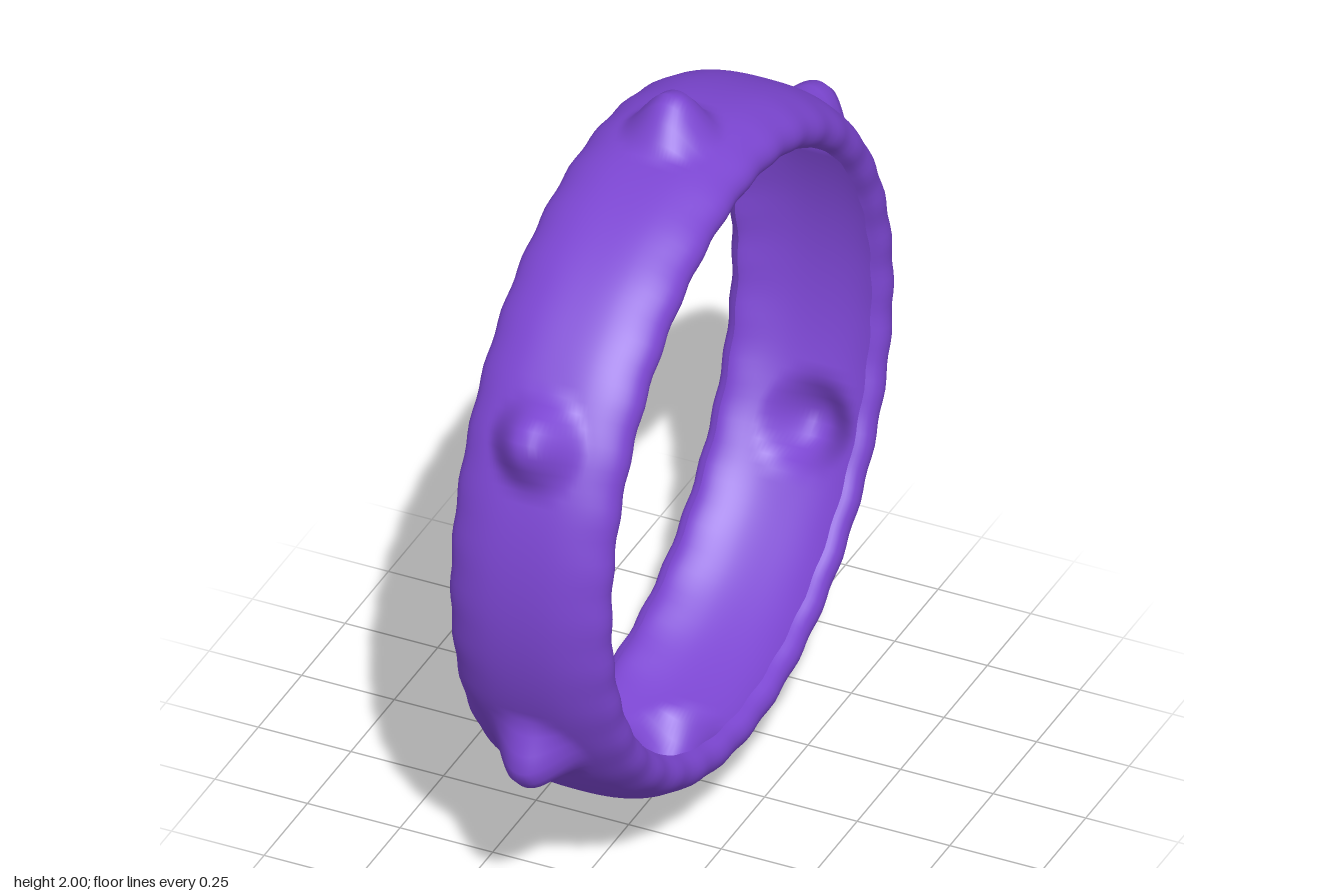
import * as THREE from 'three';

const violet = new THREE.MeshStandardMaterial({ color: 0x7c46d2, side: THREE.DoubleSide });
violet.name = 'violet';

// Smooth radial bump around each of the six stud centres
function studHeight(x, angle) {
  const step = Math.PI / 3;
  const local = angle - Math.PI / 2 - step * Math.round((angle - Math.PI / 2) / step);
  const d = Math.hypot(x, local * 0.92);
  return 0.1 * (1 - THREE.MathUtils.smoothstep(d, 0.015, 0.135));
}

export function createModel() {
  const group = new THREE.Group();
  group.name = 'studdedRing';

  // Thin open shell: crown, rounded shoulders and rims curled inward (x along the axis, radius)
  const half = [[0.1, 0.893], [0.165, 0.87], [0.203, 0.84], [0.213, 0.81],
    [0.203, 0.782], [0.18, 0.765]];
  const profile = [...half.slice().reverse().map(([x, r]) => [-x, r]), [0, 0.9], ...half];
  const curve = new THREE.CatmullRomCurve3(profile.map(([x, r]) => new THREE.Vector3(x, r, 0)));
  const M = 60, N = 180;
  const section = curve.getSpacedPoints(M);

  // Sweep the section round the x axis, raising the hollow studs
  const positions = [], indices = [];
  for (let i = 0; i < N; i++) {
    const a = (i / N) * Math.PI * 2;
    const ripple = 1 + 0.012 * Math.cos(a * 36);
    for (let j = 0; j <= M; j++) {
      const { x, y } = section[j];
      const r = y + studHeight(x, a);
      positions.push(x * ripple, 1 + r * Math.sin(a), r * Math.cos(a));
      if (j === M) continue;
      const p = i * (M + 1) + j, q = ((i + 1) % N) * (M + 1) + j;
      indices.push(p, p + 1, q, q, p + 1, q + 1);
    }
  }
  const geometry = new THREE.BufferGeometry();
  geometry.setAttribute('position', new THREE.Float32BufferAttribute(positions, 3));
  geometry.setIndex(indices);
  geometry.computeVertexNormals();

  const band = new THREE.Mesh(geometry, violet);
  band.name = 'studdedBand';
  group.add(band);
  return group;
}
